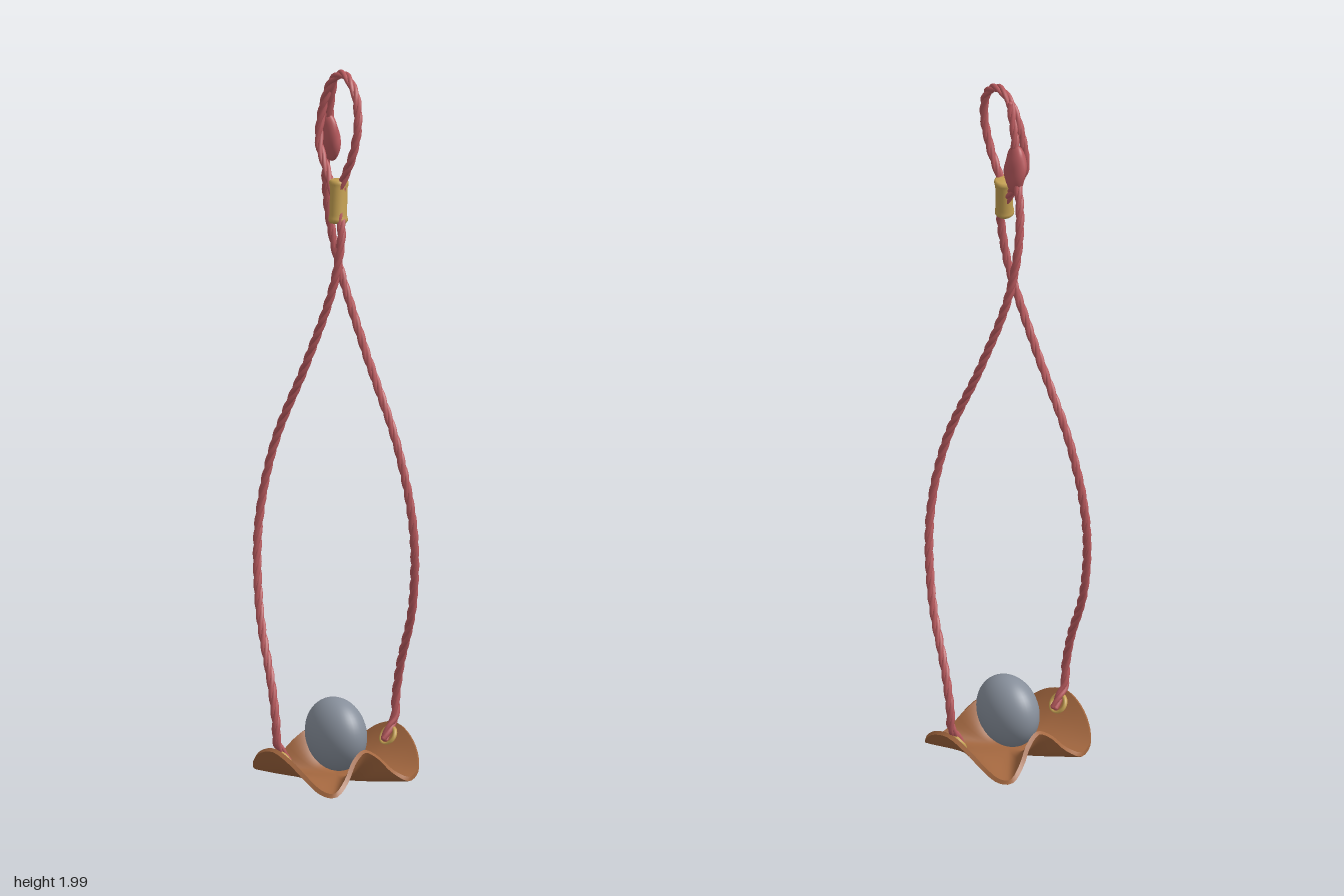
import * as THREE from 'three';

const V = (x, y, z) => new THREE.Vector3(x, y, z);
const mat = (name, color, side = THREE.FrontSide) => {
  const m = new THREE.MeshStandardMaterial({ color, side });
  m.name = name;
  return m;
};

export function createModel() {
  const root = new THREE.Group();
  const leather = mat('brown leather', 0xa3673f, THREE.DoubleSide);
  const rope = mat('red cord', 0xb85a5e);
  const brass = mat('brass', 0xc4a052);
  const stoneGrey = mat('grey stone', 0x878f9b);

  const add = (name, geo, material, parent = root) => {
    const m = new THREE.Mesh(geo, material);
    m.name = name;
    parent.add(m);
    return m;
  };

  // Pouch: a quarter of the rim, mirrored into a closed outline with rising ends and sides
  const quarter = [
    V(0.2, 0.125, 0), V(0.194, 0.104, 0.07), V(0.18, 0.068, 0.12), V(0.157, 0.037, 0.15),
    V(0.125, 0.026, 0.159), V(0.082, 0.05, 0.146), V(0.04, 0.095, 0.128), V(0, 0.115, 0.121),
  ];
  const back = (a) => a.slice(0, -1).reverse();
  const half = [...quarter, ...back(quarter).map((p) => V(-p.x, p.y, p.z))];
  const rimPoints = [...half, ...back(half).slice(0, -1).map((p) => V(p.x, p.y, -p.z))];
  const rim = new THREE.CatmullRomCurve3(rimPoints, true);
  const around = 96, rings = 14, base = 0.016, thick = 0.012;

  const grid = (rows) => {
    const pos = [], idx = [];
    rows.forEach((row) => row.forEach((p) => pos.push(p.x, p.y, p.z)));
    for (let r = 0; r < rows.length - 1; r++) for (let i = 0; i < around; i++) {
      const a = r * around + i, b = r * around + ((i + 1) % around);
      idx.push(a, b + around, a + around, a, b, b + around);
    }
    const g = new THREE.BufferGeometry();
    g.setAttribute('position', new THREE.Float32BufferAttribute(pos, 3));
    g.setIndex(idx);
    g.computeVertexNormals();
    return g;
  };

  const top = [];
  for (let r = 0; r <= rings; r++) {
    const s = Math.max(r / rings, 0.002), row = [];
    for (let i = 0; i < around; i++) {
      const p = rim.getPoint(i / around);
      row.push(V(p.x * s, base + (p.y - base) * Math.pow(s, 2.6), p.z * s));
    }
    top.push(row);
  }
  const topGeo = grid(top);
  const nrm = topGeo.attributes.normal;
  const under = top.map((row, r) => row.map((p, i) => {
    const n = V(0, 0, 0).fromBufferAttribute(nrm, r * around + i);
    if (r < 2) n.set(0, 1, 0);
    if (n.y < 0) n.negate();
    const q = p.clone().addScaledVector(n, -thick);
    q.y = Math.max(q.y, 0.002);
    return q;
  }));
  const pouch = new THREE.Group();
  pouch.name = 'pouch';
  root.add(pouch);
  add('pouchInside', topGeo, leather, pouch);
  add('pouchEdge', grid([top[rings], under[rings]]), leather, pouch);
  add('pouchUnderside', grid(under.slice().reverse()), leather, pouch);

  // Stone resting in the pouch
  const stone = add('stone', new THREE.SphereGeometry(1, 40, 28), stoneGrey);
  stone.scale.set(0.071, 0.1, 0.102);
  stone.position.set(0, 0.13, 0);

  // Brass eyelets at both ends of the pouch
  for (const s of [1, -1]) {
    const ring = add(s > 0 ? 'leftEyelet' : 'rightEyelet', new THREE.TorusGeometry(0.025, 0.006, 10, 32), brass);
    ring.position.set(s * 0.174, 0.092, 0);
    ring.quaternion.setFromUnitVectors(V(0, 0, 1), V(-s * 0.85, 0.53, 0).normalize());
  }

  // Twisted cord: three strands winding around a path
  const cord = (name, points) => {
    const group = new THREE.Group();
    group.name = name;
    root.add(group);
    const path = new THREE.CatmullRomCurve3(points);
    const len = path.getLength(), n = Math.ceil(len / 0.009);
    const { normals, binormals } = path.computeFrenetFrames(n, false);
    const centres = path.getSpacedPoints(n);
    for (let k = 0; k < 3; k++) {
      const strand = centres.map((c, i) => {
        const a = (i / n) * (len / 0.13) * Math.PI * 2 + (k * Math.PI * 2) / 3;
        return c.clone().addScaledVector(normals[i], Math.cos(a) * 0.0055)
          .addScaledVector(binormals[i], Math.sin(a) * 0.0055);
      });
      const curve = new THREE.CatmullRomCurve3(strand);
      add('strand', new THREE.TubeGeometry(curve, n, 0.0068, 8), rope, group);
      // Rounded strand ends
      for (const p of [strand[0], strand[n]]) {
        add('strandEnd', new THREE.SphereGeometry(0.0068, 8, 6), rope, group).position.copy(p);
      }
    }
  };

  // Shared lower sweep of the cords, turned half round for the other side
  const lower = [
    V(-0.162, 0.085, 0), V(-0.178, 0.112, 0), V(-0.196, 0.14, 0), V(-0.2, 0.2, 0), V(-0.193, 0.3, -0.03),
    V(-0.172, 0.48, -0.11), V(-0.148, 0.7, -0.148), V(-0.122, 0.93, -0.115), V(-0.092, 1.2, 0),
    V(-0.066, 1.42, 0.078),
  ];
  // Right cord ends in a finger loop closed by the ferrule
  cord('rightCordWithLoop', [
    ...lower, V(-0.05, 1.56, 0.091), V(-0.036, 1.64, 0.066), V(-0.03, 1.7, 0.072),
    V(-0.026, 1.78, 0.108), V(-0.018, 1.87, 0.122), V(-0.01, 1.95, 0.098), V(-0.003, 1.987, 0.04),
    V(-0.003, 1.96, -0.01), V(-0.009, 1.88, -0.045), V(-0.02, 1.78, -0.048), V(-0.026, 1.71, -0.005),
    V(-0.034, 1.65, 0.038), V(-0.038, 1.62, 0.052),
  ]);
  // Left cord ends in a knot with a short tail
  cord('leftCord', [
    ...lower.map((p) => V(-p.x, p.y, -p.z)), V(0.047, 1.58, -0.1), V(0.03, 1.7, -0.085),
    V(0.017, 1.79, -0.052), V(0.01, 1.88, -0.04), V(0.004, 1.965, -0.014),
  ]);

  // Knot: a lumpy twisted ball pulled long
  const knotGeo = new THREE.SphereGeometry(1, 28, 24);
  const kp = knotGeo.attributes.position;
  for (let i = 0; i < kp.count; i++) {
    const p = V(0, 0, 0).fromBufferAttribute(kp, i);
    const ridge = 1 + 0.07 * Math.sin(3 * Math.atan2(p.z, p.x) + 5 * p.y) * Math.hypot(p.x, p.z);
    kp.setXYZ(i, p.x * ridge, p.y, p.z * ridge);
  }
  knotGeo.computeVertexNormals();
  const knot = add('knot', knotGeo, rope);
  knot.scale.set(0.022, 0.069, 0.037);
  knot.position.set(0.016, 1.787, -0.05);
  knot.rotation.z = 0.1;

  // Brass ferrule with rolled ends
  const profile = [[0, -0.059], [0.021, -0.059], [0.026, -0.053], [0.026, -0.046], [0.0235, -0.036],
    [0.0235, 0.036], [0.026, 0.046], [0.026, 0.053], [0.021, 0.059], [0, 0.059]];
  const ferrule = add('ferrule', new THREE.LatheGeometry(profile.map((p) => new THREE.Vector2(...p)), 28), brass);
  ferrule.position.set(-0.035, 1.643, 0.058);
  ferrule.quaternion.setFromUnitVectors(V(0, 1, 0), V(0.014, 0.118, -0.014).normalize());

  return root;
}
